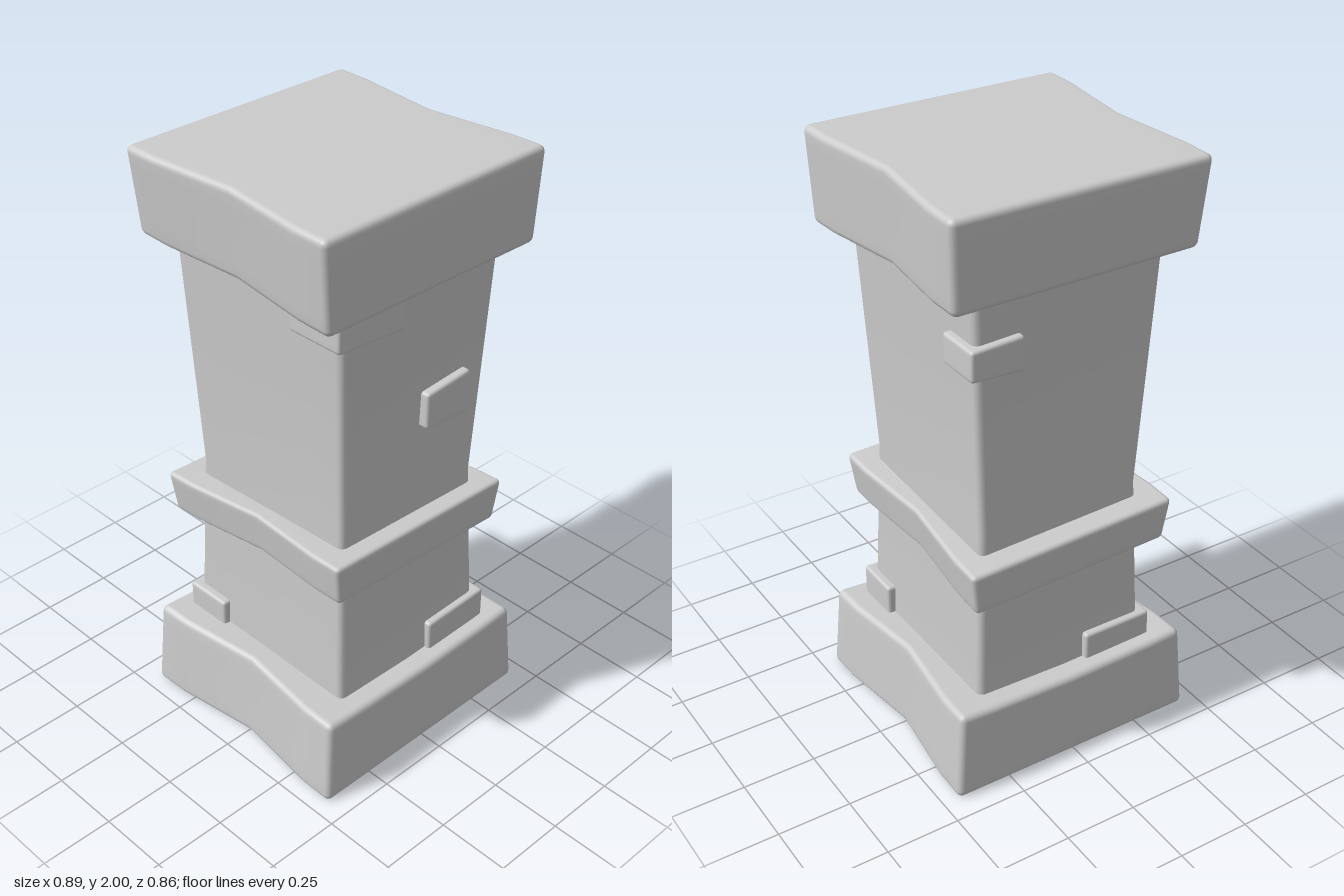
import * as THREE from 'three';
import { mergeVertices } from 'three/addons/utils/BufferGeometryUtils.js';

const material = new THREE.MeshStandardMaterial({ color: 0xcccccc });

// Bevelled stone block from min to max; warp(p, u) bends it, u being the position in -1..1
function block(name, min, max, bevel, warp = () => {}) {
  const lo = new THREE.Vector3(...min), hi = new THREE.Vector3(...max);
  const centre = lo.clone().add(hi).multiplyScalar(0.5);
  const half = hi.clone().sub(lo).multiplyScalar(0.5);
  const inner = half.clone().subScalar(bevel);
  let geometry = new THREE.BoxGeometry(8, 8, 8, 8, 8, 8);
  geometry.deleteAttribute('uv');
  geometry.deleteAttribute('normal');
  geometry = mergeVertices(geometry, 1e-3);
  const pos = geometry.attributes.position;
  const p = new THREE.Vector3(), core = new THREE.Vector3(), u = new THREE.Vector3();
  // grid lines: centre, inner face, bevel start, bevel middle, outside
  const line = (t, h) => {
    const a = Math.abs(Math.round(t));
    return Math.sign(t) * [0, 0.74 * (h - bevel), h - bevel, h - bevel * 0.55, h][a];
  };
  for (let i = 0; i < pos.count; i++) {
    p.fromBufferAttribute(pos, i);
    p.set(line(p.x, half.x), line(p.y, half.y), line(p.z, half.z));
    core.copy(p).clamp(inner.clone().negate(), inner);
    p.sub(core).normalize().multiplyScalar(bevel).add(core);
    u.copy(p).divide(half);
    p.add(centre);
    warp(p, u);
    pos.setXYZ(i, p.x, p.y, p.z);
  }
  geometry.computeVertexNormals();
  const mesh = new THREE.Mesh(geometry, material);
  mesh.name = name;
  return mesh;
}

// Narrows the two x sides towards z = 0
const pinch = (p, u, amount) => {
  p.x -= u.x * amount * Math.max(0, 1 - Math.abs(u.z) / 0.74);
};

export function createModel() {
  const group = new THREE.Group();
  group.name = 'stonePillar';

  // Base, leaning inwards to its top, which sags a little in the middle
  group.add(block('base', [-0.448, 0, -0.425], [0.448, 0.31, 0.43], 0.022, (p, u) => {
    const up = (u.y + 1) / 2;
    pinch(p, u, 0.042);
    p.x *= 1 - 0.05 * up;
    p.z *= 1 - 0.03 * up;
    p.y -= up * (0.015 * (1 - u.x * u.x) + 0.005 * u.z);
  }));

  // Shaft with a waist
  group.add(block('shaft', [-0.325, 0.05, -0.355], [0.335, 1.75, 0.36], 0.025, (p, u) => {
    const waist = 1 - Math.abs(u.y);
    p.x *= 1 - 0.125 * waist;
    p.z *= 1 - 0.1 * waist;
    if (u.y < 0) p.multiply(new THREE.Vector3(1 + 0.02 * u.y, 1, 1 + 0.02 * u.y));
  }));

  // Crooked band
  group.add(block('band', [-0.37, 0.7, -0.4], [0.372, 0.85, 0.392], 0.016, (p, u) => {
    const down = (1 - u.y) / 2;
    pinch(p, u, 0.03);
    p.x *= 1 - 0.055 * down;
    p.z *= 1 - 0.03 * down;
    p.y += -0.014 * u.x + 0.017 * u.z;
  }));

  // Cap, widening to its top
  group.add(block('cap', [-0.445, 1.7, -0.43], [0.446, 2, 0.42], 0.022, (p, u) => {
    const down = (1 - u.y) / 2;
    pinch(p, u, 0.04);
    p.x *= 1 - (u.x < 0 ? 0.06 : 0.03) * down;
    p.z *= 1 - 0.03 * down;
    if (u.x < 0 && u.z < 0) p.x += 0.018 * u.x * u.z;
    p.y -= down * (0.009 * u.z + 0.004 * u.x);
  }));

  // Raised bricks on the corners and the front: [name, min, max, slant, taper]
  const bricks = [
    ['upperFrontBrick', [-0.348, 1.592, 0.17], [-0.085, 1.74, 0.375], -0.01, 0],
    ['frontBrick', [0.027, 1.18, 0.25], [0.216, 1.318, 0.37], 0, 0.007],
    ['upperBackBrick', [0.17, 1.457, -0.37], [0.35, 1.565, -0.21], 0, -0.004],
    ['lowerFrontBrick', [0.08, 0.25, 0.2], [0.342, 0.4, 0.365], 0.004, 0],
    ['lowerBackBrick', [-0.332, 0.25, -0.36], [-0.08, 0.395, -0.19], 0, 0],
  ];
  for (const [name, min, max, slant, taper] of bricks) {
    group.add(block(name, min, max, 0.011, (p, u) => {
      p.y += u.x * (slant + taper * u.y);
    }));
  }
  return group;
}
